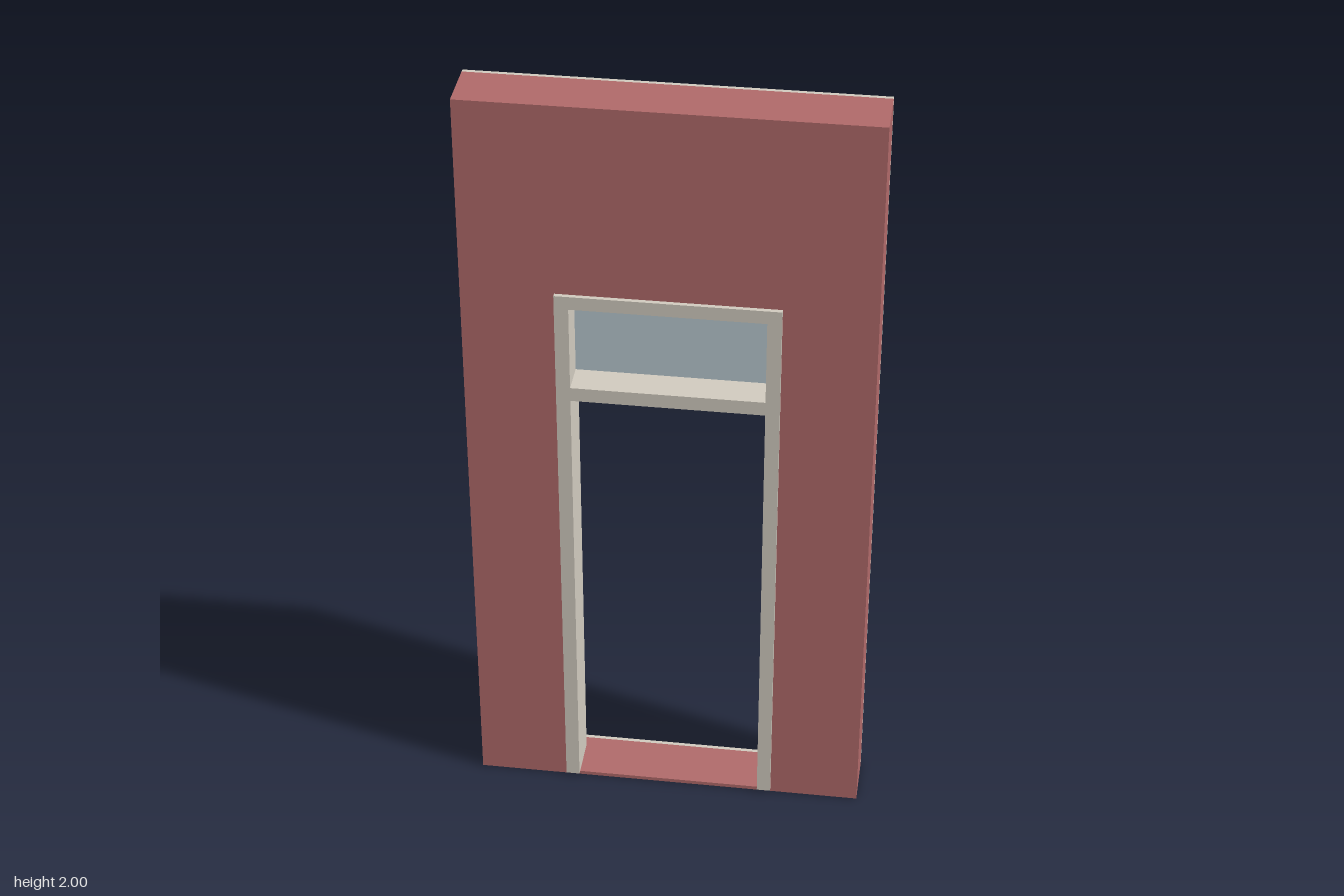
import * as THREE from 'three';

// Rectangle outline points, usable for shapes and holes
function rect(target, x, y0, y1) {
  target.moveTo(-x, y0);
  target.lineTo(x, y0);
  target.lineTo(x, y1);
  target.lineTo(-x, y1);
  target.closePath();
  return target;
}

// Upright slab with rectangular holes, spanning z0 to z1
function slab(name, material, outer, holes, z0, z1) {
  const shape = rect(new THREE.Shape(), ...outer);
  for (const h of holes) shape.holes.push(rect(new THREE.Path(), ...h));
  const geometry = new THREE.ExtrudeGeometry(shape, { depth: z1 - z0, bevelEnabled: false });
  geometry.translate(0, 0, z0);
  const mesh = new THREE.Mesh(geometry, material);
  mesh.name = name;
  return mesh;
}

export function createModel() {
  const brick = new THREE.MeshStandardMaterial({ color: 0xb06a6a });
  brick.name = 'brick red';
  const plaster = new THREE.MeshStandardMaterial({ color: 0xd1cbbf });
  plaster.name = 'pale plaster';
  const glass = new THREE.MeshStandardMaterial({ color: 0xb8c8d0 });
  glass.name = 'glass blue';

  const group = new THREE.Group();
  group.name = 'doorwayWall';

  const wall = [0.5, 0, 2];
  const opening = [0.272, 0.01, 1.5];

  // Wall core with a thin inner lining behind it
  group.add(slab('wall', brick, wall, [opening], -0.07, 0.068));
  group.add(slab('innerLining', plaster, wall, [opening], -0.08, -0.07));

  // Door frame: two jambs, head and transom, open at the threshold
  const z0 = -0.04, z1 = 0.079, inner = 0.237;
  const outline = new THREE.Shape();
  [[-0.272, 0.01], [-inner, 0.01], [-inner, 1.205], [inner, 1.205],
    [inner, 0.01], [0.272, 0.01], [0.272, 1.5], [-0.272, 1.5]]
    .forEach(([x, y], i) => (i ? outline.lineTo(x, y) : outline.moveTo(x, y)));
  outline.closePath();
  outline.holes.push(rect(new THREE.Path(), inner, 1.242, 1.465));
  const frameGeometry = new THREE.ExtrudeGeometry(outline, { depth: z1 - z0, bevelEnabled: false });
  frameGeometry.translate(0, 0, z0);
  const frame = new THREE.Mesh(frameGeometry, plaster);
  frame.name = 'doorFrame';
  group.add(frame);

  // Fixed pane above the transom
  group.add(slab('transomWindow', glass, [inner, 1.242, 1.465], [], -0.013, -0.005));

  return group;
}
